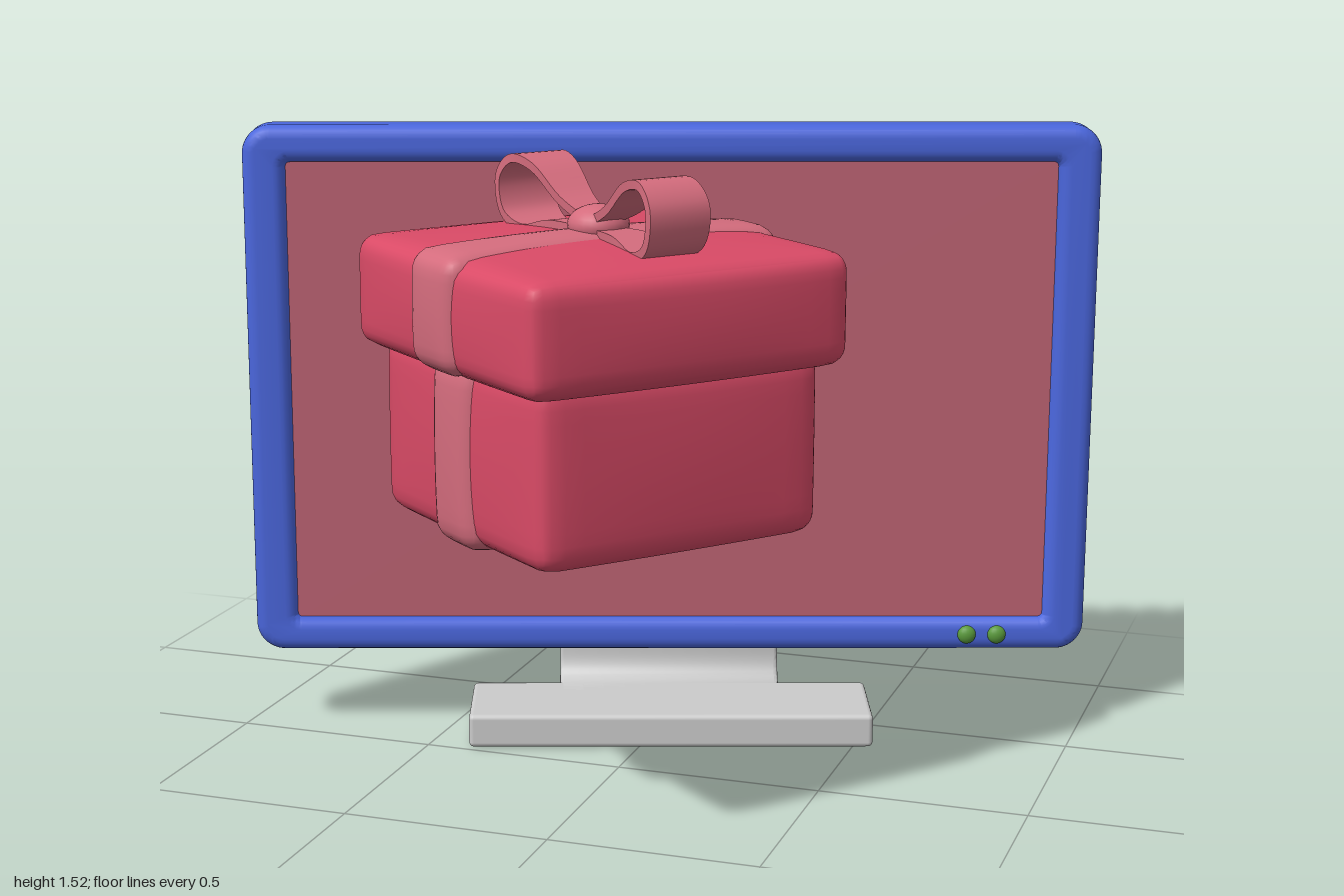
import * as THREE from 'three';
import { mergeVertices, toCreasedNormals } from 'three/addons/utils/BufferGeometryUtils.js';
import { RoundedBoxGeometry } from 'three/addons/geometries/RoundedBoxGeometry.js';

const mat = (color) => new THREE.MeshStandardMaterial({ color });
const blue = mat(0x4a66dc), glass = mat(0xbc6272), red = mat(0xd94a66);
const pink = mat(0xd46c7d), green = mat(0x5a9a3c), grey = mat(0xcccccc);

function add(parent, name, geometry, material, x = 0, y = 0, z = 0) {
  const mesh = new THREE.Mesh(geometry, material);
  mesh.name = name;
  mesh.position.set(x, y, z);
  parent.add(mesh);
  return mesh;
}

// Skin over a list of cross-sections, each a list of [x, y, z]
function loft(sections, closedRing) {
  const n = sections[0].length, index = [];
  for (let i = 0; i < sections.length - 1; i++) {
    for (let j = 0; j < (closedRing ? n : n - 1); j++) {
      const k = (j + 1) % n;
      const a = i * n + j, b = a + n, c = (i + 1) * n + k, d = i * n + k;
      index.push(a, d, c, a, c, b);
    }
  }
  const g = new THREE.BufferGeometry();
  g.setAttribute('position', new THREE.Float32BufferAttribute(sections.flat(2), 3));
  g.setIndex(index);
  return toCreasedNormals(g, 0.5);
}

// Rounded box whose faces swell outwards by the given amounts
function puffBox(w, h, d, r, swell) {
  const N = 16, half = [w / 2, h / 2, d / 2];
  let g = new THREE.BoxGeometry(2, 2, 2, N, N, N);
  g.deleteAttribute('normal');
  g.deleteAttribute('uv');
  g = mergeVertices(g);
  const pos = g.attributes.position;
  for (let i = 0; i < pos.count; i++) {
    const u = [pos.getX(i), pos.getY(i), pos.getZ(i)].map((t) => Math.sin((t * Math.PI) / 2));
    const p = new THREE.Vector3(...u.map((t, k) => t * half[k]));
    const lim = new THREE.Vector3(...half.map((v) => v - r));
    const inner = p.clone().clamp(lim.clone().negate(), lim);
    p.sub(inner).setLength(r).add(inner);
    const f = u.map((t) => 1 - t * t);
    p.x += swell[0] * u[0] * f[1] * f[2];
    p.y += swell[1] * u[1] * f[0] * f[2];
    p.z += swell[2] * u[2] * f[0] * f[1];
    pos.setXYZ(i, p.x, p.y, p.z);
  }
  g.computeVertexNormals();
  return g;
}

function roundRect(path, x0, y0, x1, y1, r) {
  path.moveTo(x0 + r, y0);
  path.lineTo(x1 - r, y0);
  path.absarc(x1 - r, y0 + r, r, -Math.PI / 2, 0);
  path.lineTo(x1, y1 - r);
  path.absarc(x1 - r, y1 - r, r, 0, Math.PI / 2);
  path.lineTo(x0 + r, y1);
  path.absarc(x0 + r, y1 - r, r, Math.PI / 2, Math.PI);
  path.lineTo(x0, y0 + r);
  path.absarc(x0 + r, y0 + r, r, Math.PI, Math.PI * 1.5);
  return path;
}

// Back housing: a bevelled shell with vent slots and a shallow recess
function housing() {
  const B = -0.12, F = -0.21, slotCount = 15, pitch = 0.0925, slotW = 0.045;
  const profile = (x, slot, recess) => {
    const s = slot ? -0.165 : F, r = recess ? -0.17 : F;
    return [[0.25, B], [0.33, F], [0.56, F], [0.56, r], [0.8, r], [0.8, F],
      [1.22, F], [1.22, s], [1.38, s], [1.425, -0.165], [1.47, B]].map(([y, z]) => [x, y, z]);
  };
  const end = (x) => profile(x).map((p) => [x, p[1] < 0.5 ? 0.25 : p[1] > 1.3 ? 1.47 : p[1], B]);
  const slots = Array.from({ length: slotCount }, (_, i) => (i - (slotCount - 1) / 2) * pitch);
  const cuts = [-0.84, -0.28, 0.28, 0.84];
  slots.forEach((c) => cuts.push(c - slotW / 2, c + slotW / 2));
  cuts.sort((a, b) => a - b);
  const sections = [end(-0.94)];
  for (let i = 0; i < cuts.length - 1; i++) {
    const mid = (cuts[i] + cuts[i + 1]) / 2;
    const slot = slots.some((c) => Math.abs(mid - c) < slotW / 2), recess = Math.abs(mid) < 0.28;
    sections.push(profile(cuts[i], slot, recess), profile(cuts[i + 1], slot, recess));
  }
  sections.push(end(0.94));
  return loft(sections, false);
}

function createMonitor() {
  const g = new THREE.Group();
  g.name = 'monitor';

  // Rounded bezel around the screen opening
  const bv = 0.03;
  const outline = roundRect(new THREE.Shape(), -1.04 + bv, 0.2 + bv, 1.04 - bv, 1.52 - bv, 0.04);
  outline.holes.push(roundRect(new THREE.Path(), -0.935 - bv, 0.285 - bv, 0.935 + bv, 1.43 + bv, 0.04));
  const bezel = new THREE.ExtrudeGeometry(outline, {
    depth: 0.12 - 2 * bv, bevelSize: bv, bevelThickness: bv, bevelSegments: 5, curveSegments: 6 });
  add(g, 'bezel', toCreasedNormals(bezel, 0.6), blue, 0, 0, bv - 0.12);
  add(g, 'innerPanel', new THREE.BoxGeometry(1.92, 1.2, 0.07), blue, 0, 0.8575, -0.08);
  add(g, 'screen', new THREE.BoxGeometry(1.91, 1.18, 0.02), glass, 0, 0.8575, -0.035);
  add(g, 'backHousing', housing(), blue);

  // Buttons
  for (const x of [0.745, 0.82]) {
    const button = add(g, 'button', new THREE.SphereGeometry(0.023, 20, 12), green, x, 0.243, 0);
    button.scale.z = 0.7;
  }

  // Foot and curved neck
  add(g, 'foot', new RoundedBoxGeometry(1.0, 0.083, 0.27, 3, 0.012), grey, 0, 0.0415, 0.025);
  const s = new THREE.Shape();
  s.moveTo(0.04, 0.01);
  s.lineTo(0.12, 0.01);
  s.quadraticCurveTo(0.245, 0.01, 0.245, 0.15);
  s.lineTo(0.245, 0.47);
  s.lineTo(0.17, 0.47);
  s.lineTo(0.17, 0.15);
  s.quadraticCurveTo(0.17, 0.073, 0.1, 0.073);
  s.lineTo(0.04, 0.073);
  const neck = new THREE.ExtrudeGeometry(s, {
    depth: 0.54, bevelSize: 0.01, bevelThickness: 0.01, bevelSegments: 3, curveSegments: 14 });
  neck.translate(0, 0, -0.27).rotateY(Math.PI / 2);
  add(g, 'neck', toCreasedNormals(neck, 0.6), grey);

  g.position.set(0.025, 0, -0.325);
  g.rotation.y = 0.331;
  return g;
}

// One teardrop bow loop, widening away from the knot
function bowLoop() {
  const curve = new THREE.CatmullRomCurve3([[0, 0.01], [0.1, 0.05], [0.2, 0.115], [0.28, 0.125], [0.325, 0.08],
    [0.31, 0], [0.24, -0.03], [0.14, -0.01], [0, -0.01]].map(([x, y]) => new THREE.Vector3(x, y, 0)));
  const sections = [];
  for (let i = 0; i <= 48; i++) {
    const p = curve.getPoint(i / 48), t = curve.getTangent(i / 48);
    const w = 0.03 + 0.14 * Math.max(p.x, 0), e = 0.01;
    const corner = (side, z) => [p.x - t.y * e * side, p.y + t.x * e * side, z];
    sections.push([corner(1, -w), corner(1, w), corner(-1, w), corner(-1, -w)]);
  }
  return loft(sections, true);
}

function createGift() {
  const g = new THREE.Group();
  g.name = 'giftBox';
  add(g, 'boxBody', puffBox(0.725, 0.42, 0.725, 0.05, [0.012, 0.015, 0.012]), red, 0, 0.895, 0);
  add(g, 'boxLid', puffBox(0.815, 0.255, 0.815, 0.045, [0.012, 0.02, 0.012]), red, 0, 1.198, 0);
  add(g, 'bodyRibbon', puffBox(0.19, 0.43, 0.77, 0.05, [0, 0.015, 0.01]), pink, 0, 0.89, 0);
  add(g, 'lidRibbon', puffBox(0.2, 0.265, 0.86, 0.045, [0, 0.02, 0.01]), pink, 0, 1.206, 0);

  // Bow
  for (const turn of [0, Math.PI]) add(g, 'bowLoop', bowLoop(), pink, 0, 1.36, 0).rotation.y = turn;
  const knot = add(g, 'bowKnot', new THREE.SphereGeometry(0.07, 24, 16), pink, 0, 1.365, 0);
  knot.scale.y = 0.65;

  g.position.set(0.035, 0, 0.24);
  g.rotation.y = -0.69;
  return g;
}

export function createModel() {
  const model = new THREE.Group();
  model.name = 'monitorWithGift';
  model.add(createMonitor(), createGift());
  return model;
}
